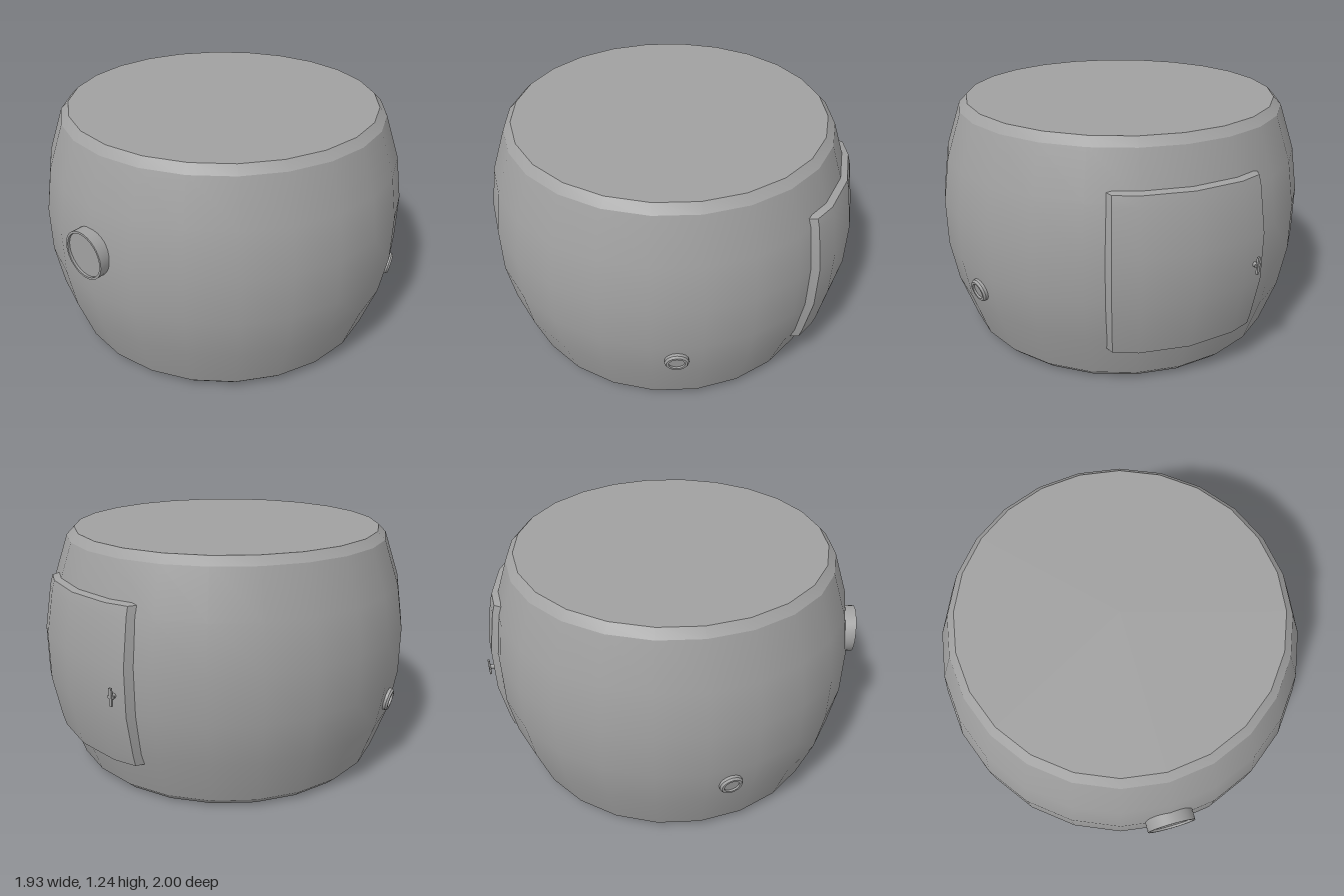
import * as THREE from 'three';
import { toCreasedNormals } from 'three/addons/utils/BufferGeometryUtils.js';

const rad = THREE.MathUtils.degToRad;

export function createModel() {
  const model = new THREE.Group();
  const grey = new THREE.MeshStandardMaterial({ color: 0xa0a0a0 });
  grey.name = 'plain grey';

  const add = (name, geometry, parent = model) => {
    const mesh = new THREE.Mesh(geometry, grey);
    mesh.name = name;
    parent.add(mesh);
    return mesh;
  };
  const turned = (profile, sides, crease = 22) => toCreasedNormals(
    new THREE.LatheGeometry(profile.map(([r, y]) => new THREE.Vector2(r, y)), sides), rad(crease));

  // Barrel-shaped body with chamfered rims and flat ends
  add('body', turned([
    [0, 0], [0.81, 0], [0.85, 0.04], [0.93, 0.28], [0.967, 0.5],
    [0.967, 0.74], [0.93, 0.97], [0.85, 1.2], [0.81, 1.24], [0, 1.24],
  ], 24));

  // Round front lens with a thin raised rim
  const lens = add('frontLens', turned([
    [0.125, 0], [0.125, 0.07], [0.114, 0.07], [0.114, 0.058], [0, 0.058],
  ], 32).rotateX(Math.PI / 2));
  lens.position.set(0, 0.74, 0.93);

  // Two small side ports on opposite sides, leaning with the wall
  const portGeometry = turned([
    [0.06, -0.02], [0.06, 0.012], [0.052, 0.022], [0.04, 0.022], [0.04, 0.012], [0, 0.012],
  ], 16, 25).rotateX(Math.PI / 2);
  for (const [name, degrees] of [['rightPort', -67.5], ['leftPort', 112.5]]) {
    const port = add(name, portGeometry);
    const a = rad(degrees);
    port.position.set(0.942 * Math.sin(a), 0.39, 0.942 * Math.cos(a));
    port.rotation.set(rad(10), a, 0, 'YXZ');
  }

  // Curved back hatch: raised shell following the body, with bevelled edges
  const rows = [
    [0.205, 0.87], [0.222, 0.945], [0.28, 0.96], [0.5, 1],
    [0.74, 1], [0.97, 0.96], [1.018, 0.945], [1.035, 0.87],
  ];
  const columns = [-25.5, -22.5, -15, 0, 15, 22.5, 25.5];
  const points = [], faces = [];
  rows.forEach(([y, r], i) => columns.forEach((degrees, j) => {
    const edge = j === 0 || j === columns.length - 1;
    // keeps the hatch parallel to the flat sides of the body
    const facet = Math.cos(rad(7.5)) / Math.cos(rad(Math.abs(degrees) % 15 - 7.5));
    const radius = (edge ? Math.min(r, r - 0.055) : r) * facet;
    points.push(-radius * Math.sin(rad(degrees)), y, -radius * Math.cos(rad(degrees)));
    if (i < rows.length - 1 && j < columns.length - 1) {
      const a = i * columns.length + j, d = a + columns.length;
      faces.push(a, a + 1, d, a + 1, d + 1, d);
    }
  }));
  const hatch = new THREE.BufferGeometry();
  hatch.setAttribute('position', new THREE.Float32BufferAttribute(points, 3));
  hatch.setIndex(faces);
  add('backHatch', toCreasedNormals(hatch, rad(25)));

  // Hatch latch: short peg, upright grip and small cross bar
  const latch = new THREE.Group();
  latch.name = 'hatchLatch';
  latch.position.set(-0.323, 0.6, -0.938);
  latch.rotation.y = Math.PI + rad(19);
  add('latchPeg', new THREE.CylinderGeometry(0.012, 0.012, 0.03, 10).rotateX(Math.PI / 2), latch)
    .position.z = 0.01;
  add('latchGrip', new THREE.BoxGeometry(0.014, 0.09, 0.01), latch).position.z = 0.024;
  add('latchBar', new THREE.BoxGeometry(0.034, 0.014, 0.01), latch).position.z = 0.022;
  model.add(latch);

  return model;
}
